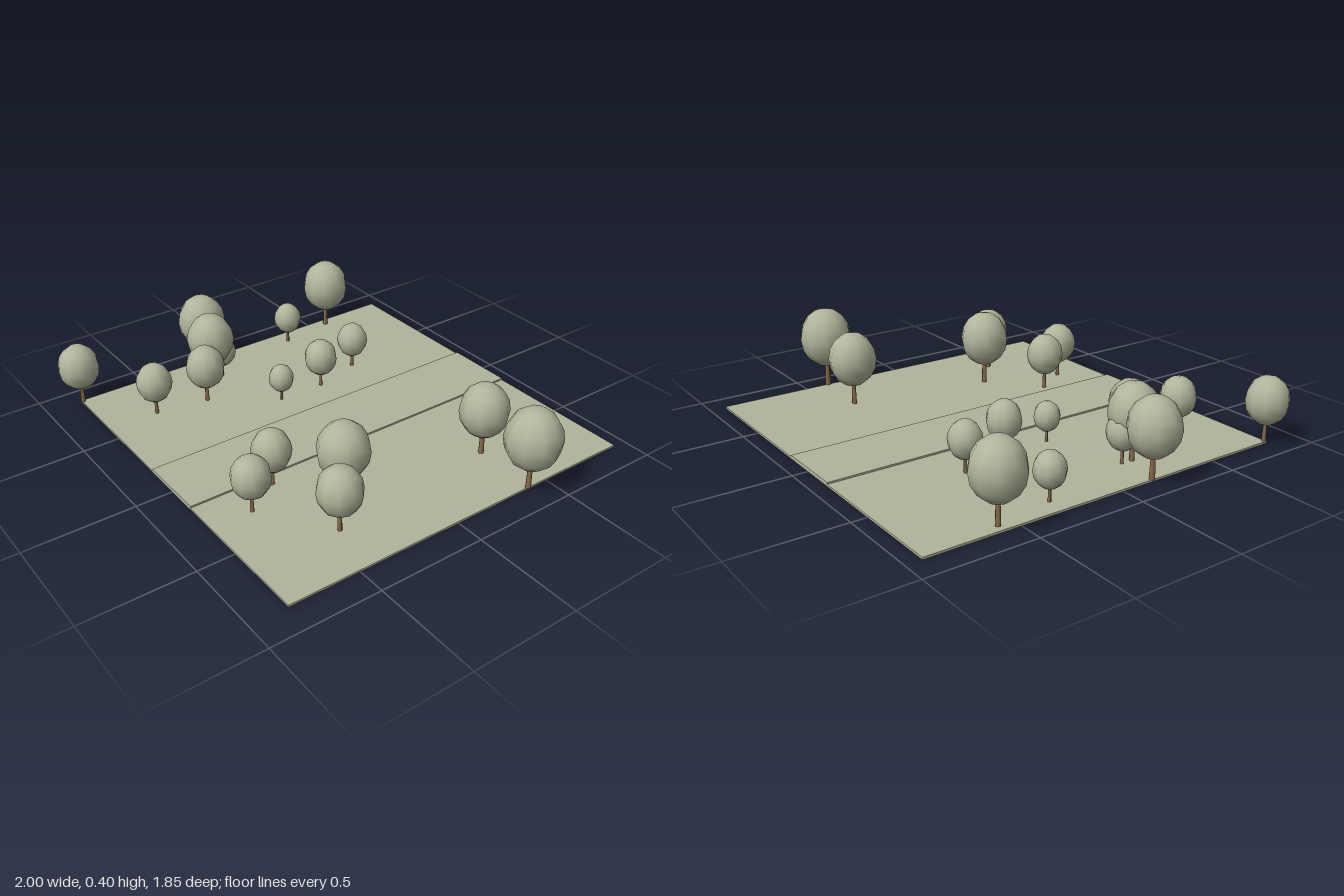
import * as THREE from 'three';

const mat = (name, color) => {
  const m = new THREE.MeshStandardMaterial({ color });
  m.name = name;
  return m;
};

// x, z and crown radius of every tree
const TREES = [
  [-0.85, -0.58, 0.116], [-0.805, -0.305, 0.069], [-0.4, -0.42, 0.075],
  [-0.335, -0.18, 0.079], [-0.335, 0.05, 0.06], [0.56, -0.41, 0.113],
  [0.87, -0.39, 0.126], [-0.885, 0.155, 0.116], [-0.70, 0.215, 0.113],
  [-0.70, 0.16, 0.073], [-0.54, 0.34, 0.093], [-0.58, 0.59, 0.084],
  [-0.88, 0.825, 0.097], [0.452, 0.27, 0.116], [0.63, 0.42, 0.099],
  [0.212, 0.465, 0.088], [0.32, 0.635, 0.087],
];

export function createModel() {
  const model = new THREE.Group();
  model.name = 'parkland';
  const grass = mat('grass', 0xb1b59b);
  const path = mat('path', 0xb1b59b);
  const leaves = mat('leaves', 0xb1b59b);
  const bark = mat('bark', 0x8a6d4b);
  const groundTop = 0.01;

  const add = (parent, name, geometry, material, x, y, z) => {
    const mesh = new THREE.Mesh(geometry, material);
    mesh.name = name;
    mesh.position.set(x, y, z);
    parent.add(mesh);
    return mesh;
  };

  // Square lawn with a slightly raised path from back to front
  add(model, 'ground', new THREE.BoxGeometry(1.76, groundTop, 1.76), grass, -0.01, groundTop / 2, -0.05);
  add(model, 'path', new THREE.BoxGeometry(0.33, 0.008, 1.76), path, -0.01, groundTop + 0.004, -0.05);

  // Unit tree: crown radius 1, standing on the ground
  const crown = new THREE.SphereGeometry(1, 10, 8).scale(1, 1.15, 1);
  const trunk = new THREE.CylinderGeometry(0.08, 0.11, 1.2, 6);
  TREES.forEach(([x, z, r], i) => {
    const tree = new THREE.Group();
    tree.name = `tree${i + 1}`;
    tree.position.set(x, groundTop, z);
    tree.scale.setScalar(r);
    tree.rotation.y = i * 1.7;
    add(tree, 'trunk', trunk, bark, 0, 0.6, 0);
    add(tree, 'crown', crown, leaves, 0, 1.96, 0);
    model.add(tree);
  });
  return model;
}
